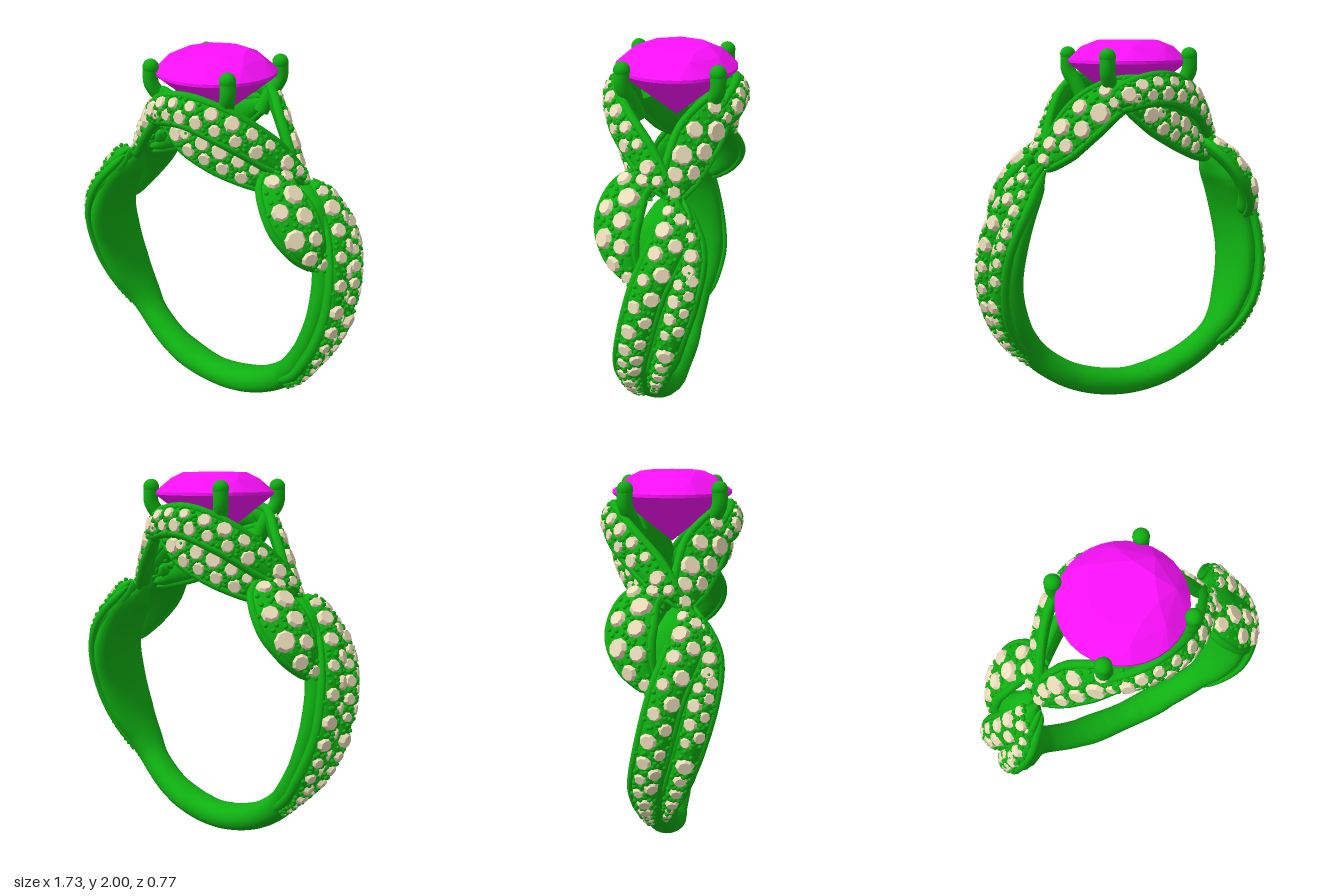
import * as THREE from 'three';
import { mergeGeometries } from 'three/addons/utils/BufferGeometryUtils.js';
import { ConvexGeometry } from 'three/addons/geometries/ConvexGeometry.js';

const green = new THREE.MeshStandardMaterial({ color: 0x0fb012 });
const tan = new THREE.MeshStandardMaterial({ color: 0xeedebc, flatShading: true });
const magenta = new THREE.MeshStandardMaterial({ color: 0xff10ff, flatShading: true });
const V = (x, y, z) => new THREE.Vector3(x, y, z);

function mesh(name, geometry, material) {
  const m = new THREE.Mesh(geometry, material);
  m.name = name;
  return m;
}

// Point on the ring: angle from the bottom, radius, z, half width, outward normal
function polar(deg, R, z, w) {
  const a = THREE.MathUtils.degToRad(deg), s = Math.sin(a), c = -Math.cos(a);
  return [R * s, 0.83 + R * c, z, w, s, c, 0];
}

// Smooth frame along rows of [x, y, z, halfWidth, nx, ny, nz]
function framePath(rows) {
  const spline = f => new THREE.CatmullRomCurve3(rows.map(f));
  const path = spline(r => V(r[0], r[1], r[2]));
  const width = spline(r => V(r[3], 0, 0));
  const normal = spline(r => V(r[4], r[5], r[6]));
  const at = t => {
    const T = path.getTangent(t), n = normal.getPoint(t);
    n.addScaledVector(T, -n.dot(T)).normalize();
    return { p: path.getPoint(t), n, b: n.clone().cross(T), w: Math.max(0.012, width.getPoint(t).x) };
  };
  return { at, length: path.getLength() };
}

// Sweep a rounded section, closed at both ends; h and d are its heights outside and inside
function sweep(at, h, d, { steps = 40, sides = 16, power = 1 } = {}) {
  const pos = [], index = [];
  const soft = x => Math.sign(x) * Math.abs(x) ** power;
  for (let i = 0; i <= steps; i++) {
    const t = i / steps, f = at(t);
    const k = Math.sqrt(Math.min(1, Math.min(t, 1 - t) * 14));
    for (let j = 0; j < sides; j++) {
      const a = j / sides * Math.PI * 2, s = soft(Math.sin(a));
      const q = f.p.clone().addScaledVector(f.b, soft(Math.cos(a)) * f.w * k)
        .addScaledVector(f.n, s * (s > 0 ? h : d) * k);
      pos.push(q.x, q.y, q.z);
      if (i < steps) {
        const j2 = (j + 1) % sides, A = i * sides + j, B = i * sides + j2;
        index.push(A, B, A + sides, B, B + sides, A + sides);
      }
    }
  }
  const g = new THREE.BufferGeometry();
  g.setAttribute('position', new THREE.Float32BufferAttribute(pos, 3));
  g.setIndex(index);
  g.computeVertexNormals();
  return g;
}

const stoneShape = new THREE.CylinderGeometry(0.7, 1, 0.9, 8);
const beadShape = new THREE.SphereGeometry(1, 7, 5);

function placed(shape, point, normal, r, flat = 1) {
  const q = new THREE.Quaternion().setFromUnitVectors(V(0, 1, 0), normal);
  return shape.clone().applyMatrix4(new THREE.Matrix4().compose(point, q, V(r, r * flat, r)));
}

// A domed ribbon with smooth rails on both edges, paved with stones and beads
function pavedStrand(name, rows, h, d) {
  const group = new THREE.Group();
  group.name = name;
  const { at, length } = framePath(rows);
  group.add(mesh('ribbon', sweep(at, h, d), green));
  for (const side of [-1, 1]) {
    const rail = t => {
      const f = at(t);
      f.p.addScaledVector(f.b, side * f.w * 0.97);
      f.w = 0.021;
      return f;
    };
    group.add(mesh('edgeRail', sweep(rail, 0.026, 0.022, { sides: 8 }), green));
  }
  const surface = (t, v) => {
    const f = at(THREE.MathUtils.clamp(t, 0, 1)), c = Math.sqrt(1 - v * v);
    return {
      point: f.p.clone().addScaledVector(f.b, v * f.w).addScaledVector(f.n, h * c),
      normal: f.n.clone().multiplyScalar(c / h).addScaledVector(f.b, v / f.w).normalize(),
    };
  };
  const stones = [], beads = [];
  let s = 0.05 * length + 0.015, i = 0;
  while (s < length * 0.95) {
    const t = s / length, w = at(t).w, two = w > 0.066;
    const v = two ? (i % 2 ? 0.44 : -0.42) : 0;
    const r = Math.min(0.056, Math.max(0.02, w * (two ? 0.52 : 0.68))) * (1 + 0.13 * Math.sin(i * 2.4));
    const spot = surface(t, v);
    stones.push(placed(stoneShape, spot.point, spot.normal, r, 0.65));
    for (let k = 0; k < 7; k++) {
      const a = k / 7 * Math.PI * 2 + i, reach = r + 0.006;
      const bv = v + Math.sin(a) * reach / w;
      if (Math.abs(bv) > 0.96) continue;
      const bead = surface(t + Math.cos(a) * reach / length, bv);
      beads.push(placed(beadShape, bead.point, bead.normal, 0.0135));
    }
    s += r * (two ? 1.18 : 2.25);
    i++;
  }
  group.add(mesh('paveStones', mergeGeometries(stones), tan));
  group.add(mesh('paveBeads', mergeGeometries(beads), green));
  return group;
}

// One half of the ring; the other half is the same turned by 180 degrees
function halfRing() {
  const half = new THREE.Group();
  half.name = 'halfRing';

  // Plain band: slanted bottom arc, overlapping the other half, and inner lining of the side
  const band = framePath([
    polar(-24, 0.755, -0.026, 0.088), polar(0, 0.755, 0, 0.088), polar(24, 0.755, 0.026, 0.088),
    polar(42, 0.755, 0.055, 0.085), polar(54, 0.745, 0.065, 0.115), polar(68, 0.735, 0.04, 0.16),
    polar(85, 0.73, 0, 0.175), polar(102, 0.73, -0.05, 0.18), polar(120, 0.735, -0.04, 0.165),
    polar(136, 0.755, 0, 0.07),
  ]);
  half.add(mesh('band', sweep(band.at, 0.075, 0.07, { steps: 72, sides: 20, power: 0.92 }), green));

  // Side strands, twisting up the shank
  half.add(pavedStrand('mainSideStrand', [
    polar(41, 0.77, 0.1, 0.025), polar(54, 0.785, 0.13, 0.05), polar(66, 0.79, 0.135, 0.07),
    polar(82, 0.795, 0.095, 0.08), polar(102, 0.795, 0.025, 0.082), polar(121, 0.785, -0.075, 0.09),
    polar(136, 0.77, -0.075, 0.035),
  ], 0.055, 0.06));
  half.add(pavedStrand('backSideStrand', [
    polar(41, 0.77, 0.05, 0.02), polar(62, 0.79, -0.005, 0.05), polar(80, 0.79, -0.07, 0.065),
    polar(100, 0.78, -0.14, 0.07), polar(116, 0.76, -0.175, 0.055), polar(134, 0.755, -0.1, 0.025),
  ], 0.052, 0.05));

  // Bulging leaf at the shoulder
  half.add(pavedStrand('shoulderLeaf', [
    [0.72, 1.0, 0.09, 0.03, 0.85, 0.1, 0.4], [0.68, 1.14, 0.175, 0.1, 0.8, 0.3, 0.5],
    [0.6, 1.27, 0.2, 0.13, 0.7, 0.5, 0.45], [0.5, 1.385, 0.16, 0.11, 0.6, 0.7, 0.35],
    [0.42, 1.46, 0.03, 0.03, 0.5, 0.8, 0.3],
  ], 0.05, 0.05));

  // Head strands, crossing below the centre stone
  half.add(pavedStrand('upperHeadStrand', [
    [0.54, 1.39, -0.04, 0.03, 0.6, 0.7, 0.3], [0.41, 1.555, 0.12, 0.075, 0.6, 0.4, 0.6],
    [0.25, 1.69, 0.26, 0.08, 0.5, 0.3, 0.8], [0.05, 1.76, 0.325, 0.075, 0.1, 0.25, 1],
    [-0.14, 1.73, 0.3, 0.065, -0.4, 0.2, 0.9], [-0.25, 1.65, 0.22, 0.03, -0.7, 0.2, 0.7],
  ], 0.04, 0.035));
  half.add(pavedStrand('lowerHeadStrand', [
    [0.5, 1.36, 0.04, 0.03, 0.5, 0.2, 0.8], [0.34, 1.44, 0.15, 0.07, 0.5, 0.05, 0.85],
    [0.18, 1.53, 0.235, 0.09, 0.35, 0, 0.9], [0.03, 1.6, 0.28, 0.078, 0.05, 0, 1],
    [-0.16, 1.7, 0.26, 0.025, -0.4, 0.1, 0.9],
  ], 0.035, 0.035));
  half.add(pavedStrand('crossingHeadStrand', [
    [0.52, 1.35, -0.03, 0.04, 0.75, 0.5, -0.4], [0.425, 1.475, -0.09, 0.1, 0.72, 0.4, -0.55],
    [0.325, 1.605, -0.15, 0.12, 0.7, 0.4, -0.6], [0.19, 1.725, -0.24, 0.09, 0.5, 0.4, -0.78],
    [0.02, 1.79, -0.31, 0.025, 0.1, 0.3, -1],
  ], 0.04, 0.035));

  // Two of the four claws
  for (const z of [1, -1]) {
    const claw = new THREE.CatmullRomCurve3([
      V(0.17, 1.66, 0.17 * z), V(0.205, 1.76, 0.205 * z), V(0.24, 1.84, 0.24 * z), V(0.24, 1.925, 0.24 * z),
    ]);
    half.add(mesh('claw', new THREE.TubeGeometry(claw, 16, 0.04, 12), green));
    const tip = mesh('clawTip', new THREE.SphereGeometry(0.043, 14, 10), green);
    tip.position.set(0.24, 1.922, 0.24 * z);
    half.add(tip);
  }
  return half;
}

// Faceted round centre stone
function centreStone() {
  const points = [V(0, 1.63, 0)];
  const ring = (count, r, y, turn) => {
    for (let i = 0; i < count; i++) {
      const a = (i + turn) / count * Math.PI * 2;
      points.push(V(r * Math.sin(a), y, r * Math.cos(a)));
    }
  };
  ring(8, 0.17, 2, 0);
  ring(8, 0.25, 1.966, 0.5);
  ring(32, 0.318, 1.9, 0);
  ring(32, 0.318, 1.884, 0);
  return mesh('centreStone', new ConvexGeometry(points), magenta);
}

export function createModel() {
  const model = new THREE.Group();
  model.name = 'ring';
  const right = halfRing(), left = right.clone();
  left.rotation.y = Math.PI;
  model.add(right, left, centreStone());
  return model;
}
